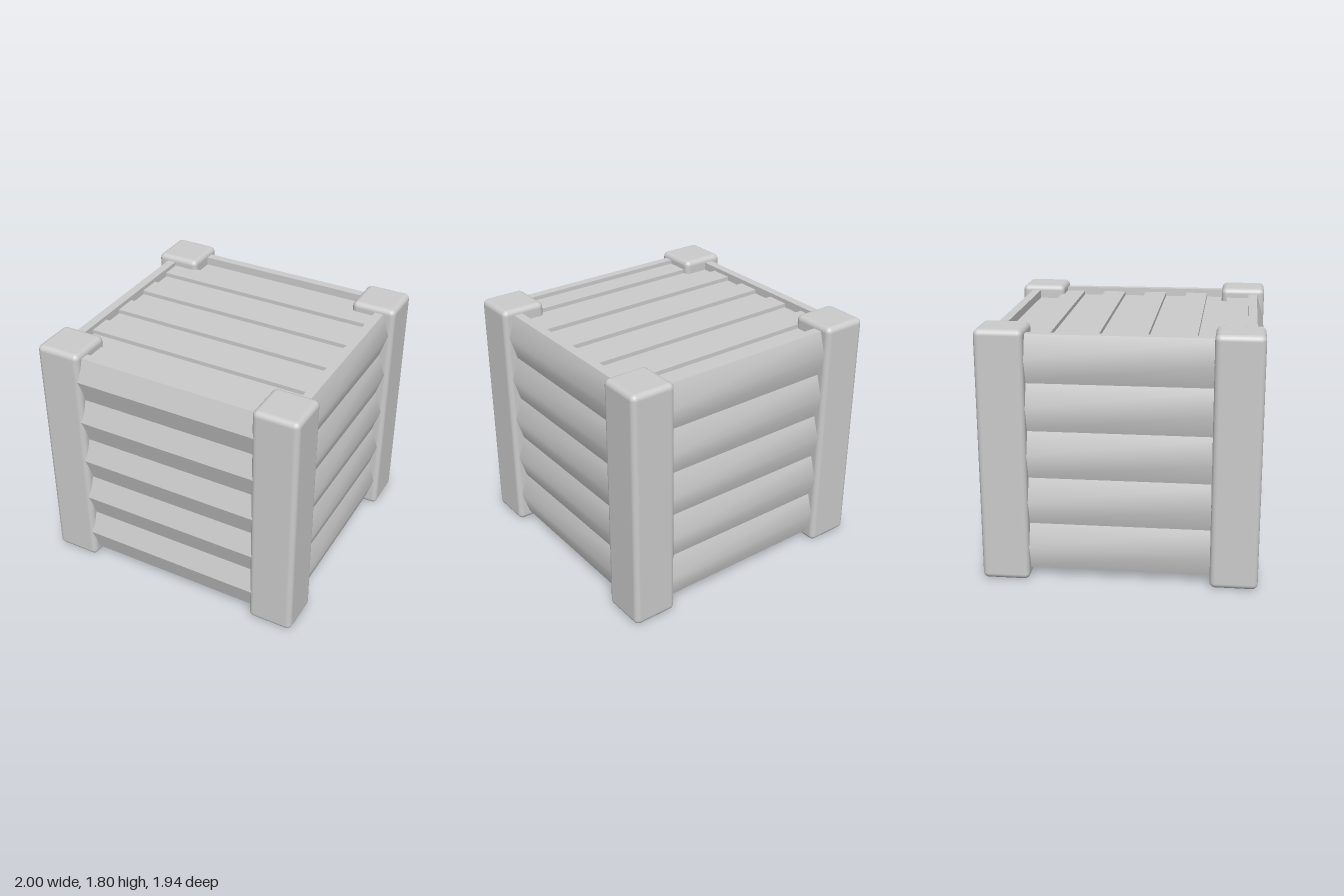
import * as THREE from 'three';
import { RoundedBoxGeometry } from 'three/addons/geometries/RoundedBoxGeometry.js';
import { toCreasedNormals } from 'three/addons/utils/BufferGeometryUtils.js';

const BASE = 0.065, PITCH = 0.34, ROWS = 5;

export function createModel() {
  const crate = new THREE.Group();
  crate.name = 'crate';
  const material = new THREE.MeshStandardMaterial({ color: 0xcccccc });

  function add(parent, name, geometry, x = 0, y = 0, z = 0) {
    const mesh = new THREE.Mesh(geometry, material);
    mesh.name = name;
    mesh.position.set(x, y, z);
    parent.add(mesh);
    return mesh;
  }

  // Rounded corner posts
  const postGeometry = new RoundedBoxGeometry(0.335, 1.805, 0.335, 3, 0.04);
  for (const x of [-1, 1]) {
    for (const z of [-1, 1]) {
      add(crate, 'cornerPost', postGeometry, x * 0.8325, 0.9025, z * 0.803);
    }
  }

  // Wall plank: flat inside, ridged outside; extruded along the wall
  function plankGeometry(length, inner, groove, ridge, crease) {
    const s = new THREE.Shape();
    s.moveTo(-inner, 0);
    s.lineTo(-inner, PITCH);
    s.lineTo(-groove, PITCH);
    s.lineTo(-ridge, PITCH / 2);
    s.lineTo(-groove, 0);
    s.closePath();
    const g = new THREE.ExtrudeGeometry(s, { depth: length, bevelEnabled: false });
    g.translate(0, 0, -length / 2);
    g.rotateY(Math.PI / 2); // outside now faces +z
    return toCreasedNormals(g, crease);
  }

  // Four walls of stacked planks
  const walls = [
    { name: 'frontWall', turn: 0, geometry: plankGeometry(1.64, 0.847, 0.913, 0.966, 0.5) },
    { name: 'backWall', turn: Math.PI, geometry: plankGeometry(1.64, 0.828, 0.893, 0.946, 0.7) },
    { name: 'leftWall', turn: Math.PI / 2, geometry: plankGeometry(1.6, 0.85, 0.915, 0.968, 0.7) },
    { name: 'rightWall', turn: -Math.PI / 2, geometry: plankGeometry(1.6, 0.85, 0.915, 0.968, 0.7) },
  ];
  for (const { name, turn, geometry } of walls) {
    const wall = new THREE.Group();
    wall.name = name;
    wall.rotation.y = turn;
    for (let i = 0; i < ROWS; i++) add(wall, 'wallPlank', geometry, 0, BASE + i * PITCH, 0);
    crate.add(wall);
  }

  // Lid and floor: slats at alternating heights, recessed between the walls
  const slats = 10, z0 = -0.828, z1 = 0.847, step = (z1 - z0) / slats;
  const slatGeometry = new THREE.BoxGeometry(1.7, 0.06, step);
  for (let i = 0; i < slats; i++) {
    const z = z0 + (i + 0.5) * step;
    const drop = i % 2 ? 0 : 0.03;
    add(crate, 'lidSlat', slatGeometry, 0, 1.705 - drop, z);
    add(crate, 'floorSlat', slatGeometry, 0, 0.125 + drop, z);
  }

  return crate;
}
